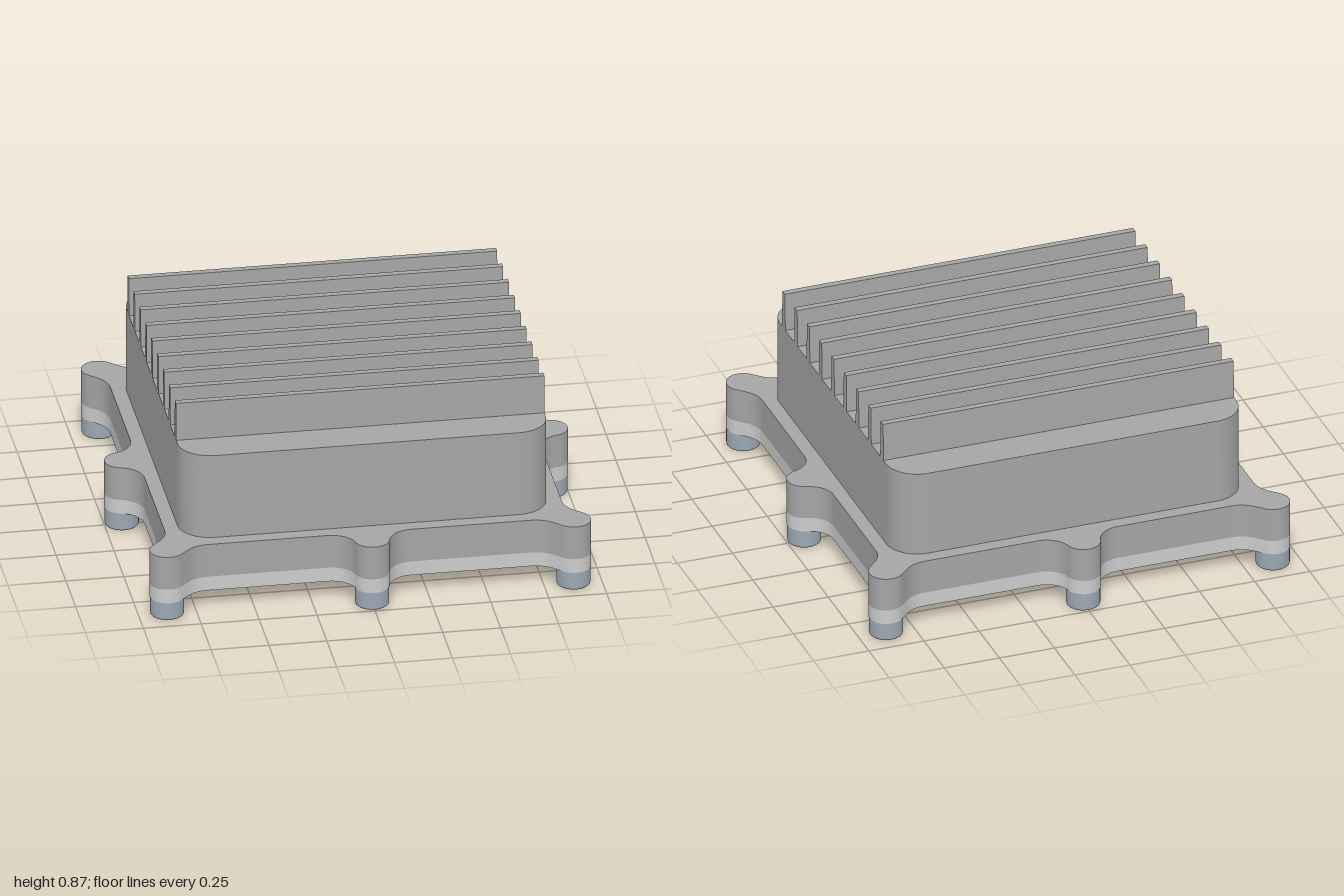
import * as THREE from 'three';
import { toCreasedNormals } from 'three/addons/utils/BufferGeometryUtils.js';

const paint = (color) => new THREE.MeshStandardMaterial({ color });
const housingMat = paint(0xa5a5a5);
const plateMat = paint(0xcccccc);
const screwMat = paint(0x9ca8b4);

const EDGE = 0.857;      // half width of the flange
const LUG = 0.075;       // lug radius
const MID = 0.925;       // centre of side lugs
const CORNER = 0.877;    // centre of corner lugs

function part(name, geometry, material) {
  const mesh = new THREE.Mesh(geometry, material);
  mesh.name = name;
  return mesh;
}

// Extrude a plan shape upwards from y0 to y1
function slab(shape, y0, y1, curveSegments = 16) {
  const g = new THREE.ExtrudeGeometry(shape, { depth: y1 - y0, bevelEnabled: false, curveSegments });
  g.rotateX(-Math.PI / 2).translate(0, y0, 0);
  return toCreasedNormals(g, 0.5);
}

// Flange outline: one quarter of tangent arcs, turned four times
function flangeShape() {
  const midR = 0.11, midY = 0.18, corR = 0.13;
  const a = Math.atan2(midY, EDGE + midR - MID);
  const corX = EDGE + corR;
  const corY = corX - Math.SQRT2 * (corR + LUG);
  const P = Math.PI;
  const arcs = [ // centre x, centre y, radius, start angle, end angle
    [MID, 0, LUG, -a, a],
    [EDGE + midR, midY, midR, P + a, P],
    [corX, corY, corR, P, 0.75 * P],
    [CORNER, CORNER, LUG, -0.25 * P, 0.75 * P],
    [corY, corX, corR, -0.25 * P, -0.5 * P],
    [midY, EDGE + midR, midR, -0.5 * P, -0.5 * P - a],
  ];
  const pts = [];
  const origin = new THREE.Vector2();
  for (let k = 0; k < 4; k++) {
    for (const [cx, cy, r, from, to] of arcs) {
      const n = Math.ceil(Math.abs(to - from) / 0.13);
      for (let i = 0; i <= n; i++) {
        const t = from + (to - from) * i / n;
        const p = new THREE.Vector2(cx + r * Math.cos(t), cy + r * Math.sin(t));
        p.rotateAround(origin, k * P / 2);
        if (!pts.length || p.distanceTo(pts[pts.length - 1]) > 1e-3) pts.push(p);
      }
    }
  }
  if (pts[0].distanceTo(pts[pts.length - 1]) < 1e-3) pts.pop();
  return new THREE.Shape(pts);
}

function roundedSquare(h, r) {
  const s = new THREE.Shape();
  s.absarc(h - r, h - r, r, 0, Math.PI / 2);
  s.absarc(r - h, h - r, r, Math.PI / 2, Math.PI);
  s.absarc(r - h, r - h, r, Math.PI, Math.PI * 1.5);
  s.absarc(h - r, r - h, r, Math.PI * 1.5, Math.PI * 2);
  s.closePath();
  return s;
}

// Socket screw head, opening downwards
function makeScrew() {
  const screw = new THREE.Group();
  const rim = 0.061, depth = 0.045;
  const profile = [[rim, 0], [0.067, 0.002], [0.0715, 0.006], [0.073, 0.012], [0.073, 0.09]]
    .map(([x, y]) => new THREE.Vector2(x, y));
  screw.add(part('screwHead', new THREE.LatheGeometry(profile, 32), screwMat));

  const face = new THREE.Shape().absarc(0, 0, rim, 0, Math.PI * 2);
  const hex = [];
  for (let i = 0; i < 6; i++) {
    const t = -i * Math.PI / 3;
    hex.push(new THREE.Vector2(0.036 * Math.cos(t), 0.036 * Math.sin(t)));
  }
  face.holes.push(new THREE.Path(hex));
  screw.add(part('hexSocket', slab(face, 0, depth), screwMat));

  const floor = new THREE.CircleGeometry(0.04, 6).rotateX(Math.PI / 2).translate(0, depth, 0);
  screw.add(part('socketFloor', floor, screwMat));
  return screw;
}

export function createModel() {
  const model = new THREE.Group();
  model.name = 'finnedEnclosure';

  // Bottom cover with four small holes
  const cover = flangeShape();
  for (const x of [-0.587, 0.587]) {
    for (const y of [-0.587, 0.587]) {
      cover.holes.push(new THREE.Path().absarc(x, y, 0.027, 0, Math.PI * 2, true));
    }
  }
  model.add(part('bottomCover', slab(cover, 0.085, 0.15, 10), plateMat));

  // Flange and raised housing
  model.add(part('flange', slab(flangeShape(), 0.15, 0.303), housingMat));
  model.add(part('housing', slab(roundedSquare(0.795, 0.14), 0.303, 0.692), housingMat));

  // Tapered cooling fins
  const section = new THREE.Shape([[-0.021, 0.69], [0.021, 0.69], [0.015, 0.865], [-0.015, 0.865]]
    .map(([x, y]) => new THREE.Vector2(x, y)));
  const finGeometry = new THREE.ExtrudeGeometry(section, { depth: 1.59, bevelEnabled: false });
  finGeometry.translate(0, 0, -0.795).rotateY(Math.PI / 2);
  const fins = new THREE.Group();
  fins.name = 'coolingFins';
  for (let i = -4; i <= 4; i++) {
    const fin = part('fin', finGeometry, housingMat);
    fin.position.z = i * 0.151;
    fins.add(fin);
  }
  model.add(fins);

  // One screw under each side lug and corner lug
  for (let k = 0; k < 8; k++) {
    const r = k % 2 ? CORNER * Math.SQRT2 : MID;
    const t = k * Math.PI / 4;
    const screw = makeScrew();
    screw.name = k % 2 ? 'cornerScrew' : 'sideScrew';
    screw.position.set(r * Math.cos(t), 0, r * Math.sin(t));
    model.add(screw);
  }
  return model;
}
